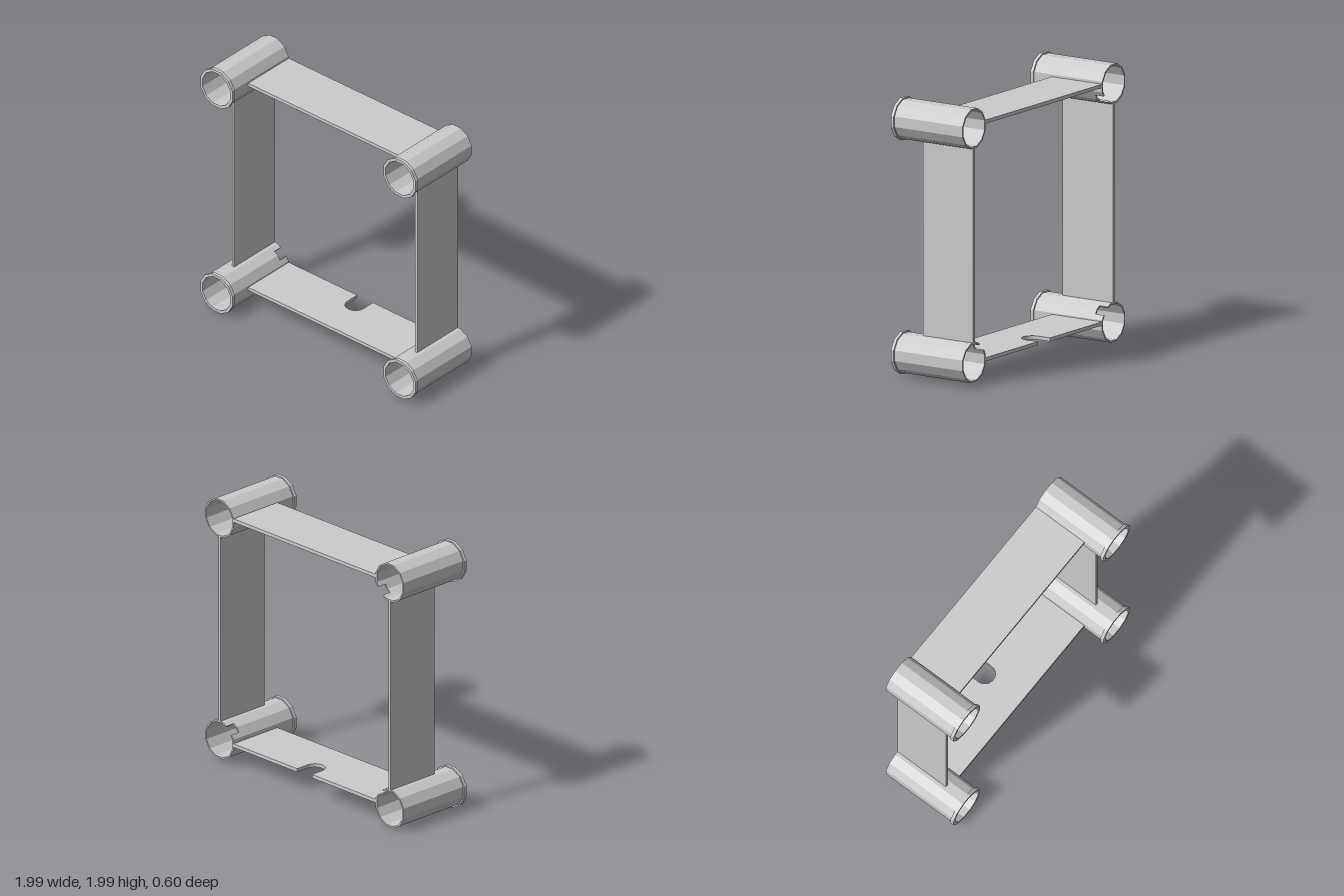
import * as THREE from 'three';

const material = new THREE.MeshStandardMaterial({ color: 0xcccccc, flatShading: true });
const BACK = -0.3, FRONT = 0.3, PLATE_FRONT = 0.125;
const R_FLANGE = 0.154, R_TUBE = 0.144, R_BORE = 0.132;
const NOTCH_DEPTH = 0.07;

const point = (r, deg) => new THREE.Vector2(r * Math.cos(deg * Math.PI / 180), r * Math.sin(deg * Math.PI / 180));

// Twelve-sided outline with flats on the axes
function polygon(r) {
  return Array.from({ length: 12 }, (_, i) => point(r, 15 + 30 * i));
}

function ring(outer, inner) {
  const shape = new THREE.Shape(polygon(outer));
  shape.holes.push(new THREE.Path(polygon(inner)));
  return shape;
}

// Ring with a 30 degree gap centred on the diagonal at angle mid
function openRing(outer, inner, mid) {
  const arc = (r) => {
    const flat = r * Math.cos(Math.PI / 12);
    const pts = [point(flat, mid + 15)];
    for (let i = 0; i < 11; i++) pts.push(point(r, mid + 30 + 30 * i));
    pts.push(point(flat, mid + 345));
    return pts;
  };
  return new THREE.Shape([...arc(outer), ...arc(inner).reverse()]);
}

function extrude(name, shape, z0, z1) {
  const geometry = new THREE.ExtrudeGeometry(shape, { depth: z1 - z0, bevelEnabled: false, curveSegments: 12 });
  geometry.translate(0, 0, z0);
  const mesh = new THREE.Mesh(geometry, material);
  mesh.name = name;
  return mesh;
}

// Flanged corner tube, optionally notched at its back end
function cornerTube(name, x, y, notchAngle) {
  const tube = new THREE.Group();
  tube.name = name;
  const notched = notchAngle !== null;
  tube.add(extrude('tubeBody', ring(R_TUBE, R_BORE), notched ? BACK + NOTCH_DEPTH : BACK, FRONT));
  if (notched) tube.add(extrude('notchedEnd', openRing(R_TUBE, R_BORE, notchAngle), BACK, BACK + NOTCH_DEPTH));
  tube.add(extrude('frontFlange', ring(R_FLANGE, R_TUBE), FRONT - 0.025, FRONT));
  tube.position.set(x, y, 0);
  return tube;
}

function plate(name, w, h, x, y) {
  const mesh = new THREE.Mesh(new THREE.BoxGeometry(w, h, PLATE_FRONT - BACK), material);
  mesh.name = name;
  mesh.position.set(x, y, (PLATE_FRONT + BACK) / 2);
  return mesh;
}

// Bottom plate with a round-ended slot in its back edge
function slottedPlate(name, halfWidth, thickness, y) {
  const r = 0.073, slotZ = BACK + 0.1;
  const s = new THREE.Shape();
  // Shape y becomes -z after the rotation
  s.moveTo(-halfWidth, -PLATE_FRONT);
  s.lineTo(halfWidth, -PLATE_FRONT);
  s.lineTo(halfWidth, -BACK);
  s.lineTo(r, -BACK);
  s.lineTo(r, -slotZ);
  s.absarc(0, -slotZ, r, 0, Math.PI, true);
  s.lineTo(-r, -BACK);
  s.lineTo(-halfWidth, -BACK);
  s.closePath();
  const mesh = extrude(name, s, -thickness / 2, thickness / 2);
  mesh.rotation.x = -Math.PI / 2;
  mesh.position.y = y;
  return mesh;
}

export function createModel() {
  const model = new THREE.Group();
  model.name = 'squareFrame';

  // Corner tubes
  const X = 0.845;
  model.add(
    cornerTube('topRightTube', -X, 1.85, -45),
    cornerTube('bottomRightTube', -X, 0.158, 45),
    cornerTube('topLeftTube', X, 1.836, null),
    cornerTube('bottomLeftTube', X, 0.176, 135)
  );

  // Connecting plates
  model.add(
    plate('topPlate', 1.41, 0.026, 0, 1.858),
    slottedPlate('bottomPlate', 0.705, 0.026, 0.172),
    plate('rightPlate', 0.021, 1.416, -X, 1.004),
    plate('leftPlate', 0.021, 1.388, X, 1.006)
  );
  return model;
}
